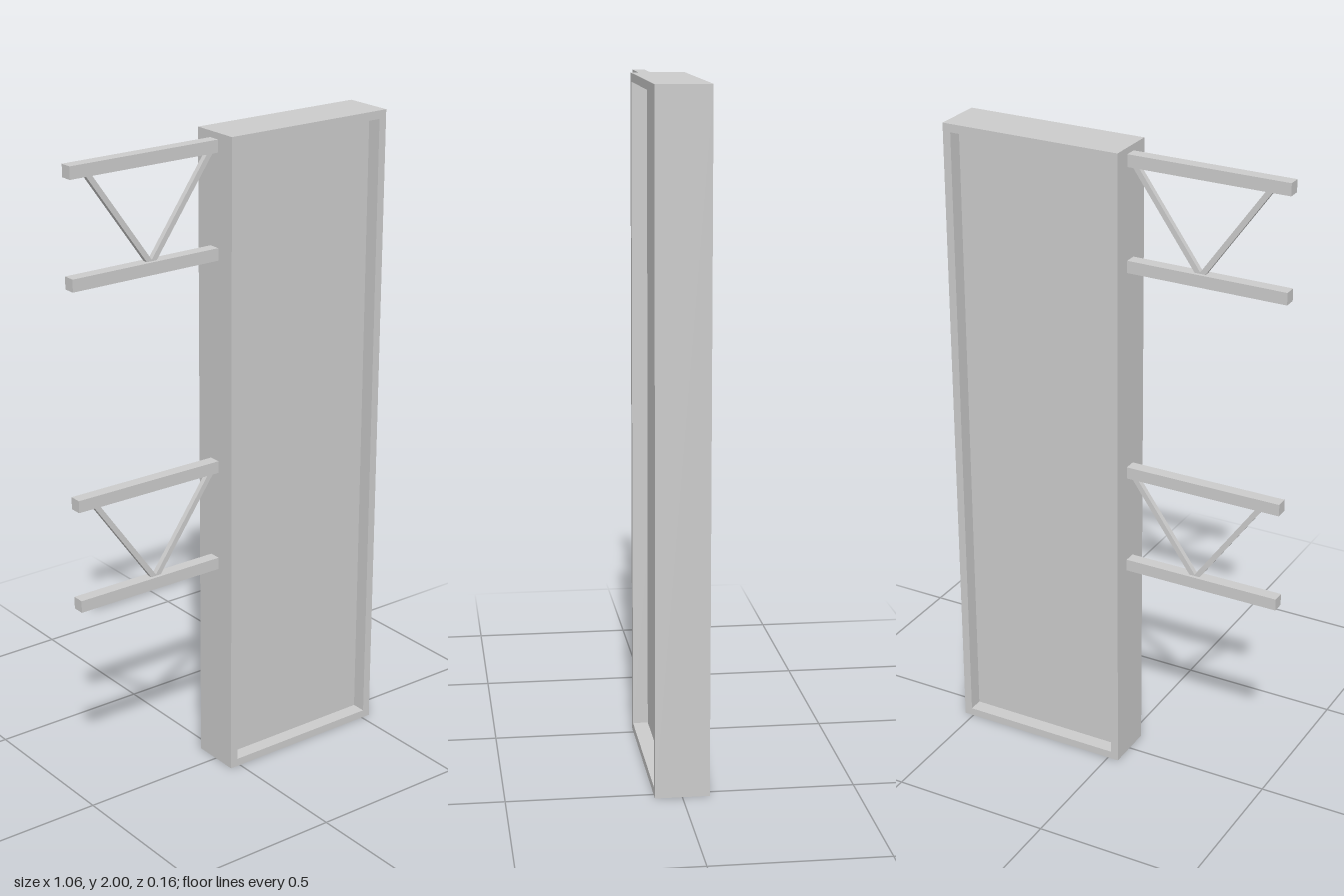
import * as THREE from 'three';

const material = new THREE.MeshStandardMaterial({ color: 0xcccccc, flatShading: true });

function add(parent, name, geometry, x = 0, y = 0, z = 0) {
  const mesh = new THREE.Mesh(geometry, material);
  mesh.name = name;
  mesh.position.set(x, y, z);
  parent.add(mesh);
  return mesh;
}

const rect = (Type, x0, y0, x1, y1) => new Type([
  new THREE.Vector2(x0, y0), new THREE.Vector2(x1, y0),
  new THREE.Vector2(x1, y1), new THREE.Vector2(x0, y1),
]);

// Extrusion centred on z = 0
function slab(shape, depth) {
  return new THREE.ExtrudeGeometry(shape, { depth, bevelEnabled: false }).translate(0, 0, -depth / 2);
}

export function createModel() {
  const group = new THREE.Group();
  const left = -0.035, right = 0.53, depth = 0.157, border = 0.025;

  // Sign box: a deep rim around a panel recessed on both faces
  const sign = new THREE.Group();
  sign.name = 'signBox';
  const rim = rect(THREE.Shape, left, 0, right, 2);
  rim.holes.push(rect(THREE.Path, left + border, border, right - border, 2 - border));
  add(sign, 'rim', slab(rim, depth));
  add(sign, 'panel', new THREE.BoxGeometry(right - left - 2 * border, 2 - 2 * border, 0.066),
    (left + right) / 2, 1, 0);
  group.add(sign);

  // Wall brackets: two horizontal bars joined by a V of thin braces
  const outer = -0.53, bar = 0.037, gap = 0.277, middle = -0.259;
  for (const [name, top] of [['upperBracket', 1.981], ['lowerBracket', 1.013]]) {
    const bracket = new THREE.Group();
    bracket.name = name;
    bracket.position.set(0, top, -0.003);
    for (const [label, y] of [['topBar', -bar / 2], ['bottomBar', -gap - 1.5 * bar]]) {
      add(bracket, label, new THREE.BoxGeometry(left - outer, bar, bar), (left + outer) / 2, y);
    }
    for (const side of [-1, 1]) {
      const bottomX = middle + side * 0.007, topX = middle + side * 0.204, half = 0.01;
      const brace = new THREE.Shape([
        new THREE.Vector2(bottomX - half, -bar - gap), new THREE.Vector2(bottomX + half, -bar - gap),
        new THREE.Vector2(topX + half, -bar), new THREE.Vector2(topX - half, -bar),
      ]);
      add(bracket, side < 0 ? 'outerBrace' : 'innerBrace', slab(brace, 0.016));
    }
    group.add(bracket);
  }
  return group;
}
